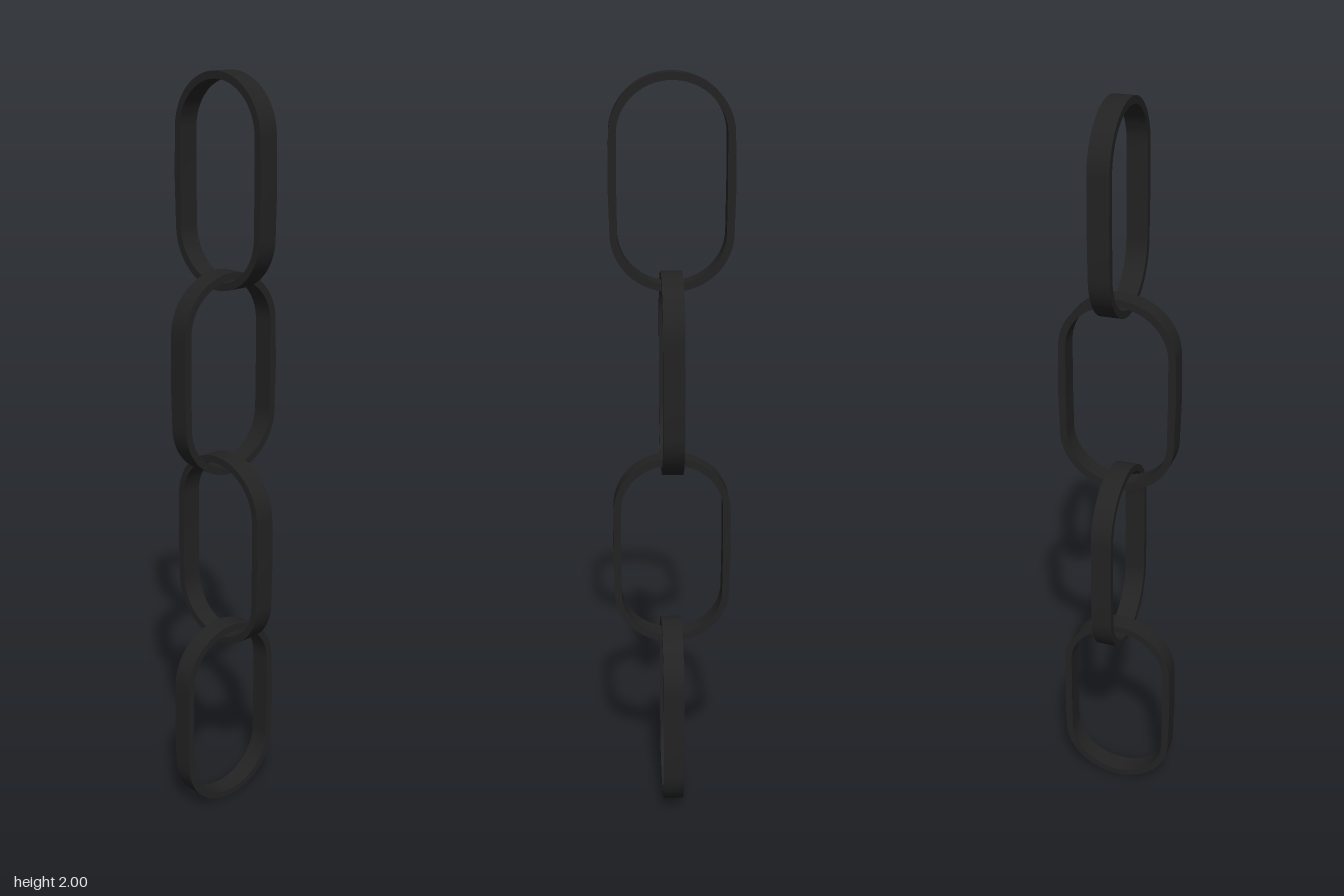
import * as THREE from 'three';
import { toCreasedNormals } from 'three/addons/utils/BufferGeometryUtils.js';

const LINKS = 4;
const HALF_HEIGHT = 0.267;  // outer half height of one link
const HALF_WIDTH = 0.155;   // outer half width of one link
const STRAIGHT = 0.12;      // half length of the straight sides
const BAND = 0.019;         // thickness of the flat bar
const DEPTH = 0.055;        // width of the flat bar

// Long oval with a faint bulge at mid height, where the bar ends meet
function oval(path, halfWidth, halfHeight, bulge) {
  const ry = halfHeight - STRAIGHT;
  path.moveTo(halfWidth, -STRAIGHT);
  path.lineTo(halfWidth + bulge, 0);
  path.lineTo(halfWidth, STRAIGHT);
  path.absellipse(0, STRAIGHT, halfWidth, ry, 0, Math.PI, false, 0);
  path.lineTo(-halfWidth - bulge, 0);
  path.lineTo(-halfWidth, -STRAIGHT);
  path.absellipse(0, -STRAIGHT, halfWidth, ry, Math.PI, Math.PI * 2, false, 0);
  return path;
}

function linkGeometry() {
  const shape = oval(new THREE.Shape(), HALF_WIDTH, HALF_HEIGHT, 0.003);
  shape.holes.push(oval(new THREE.Path(), HALF_WIDTH - BAND, HALF_HEIGHT - BAND, 0.001));
  const geometry = new THREE.ExtrudeGeometry(shape, {
    depth: DEPTH, bevelEnabled: false, curveSegments: 24,
  });
  geometry.translate(0, 0, -DEPTH / 2);
  return toCreasedNormals(geometry, Math.PI / 5);
}

export function createModel() {
  const chain = new THREE.Group();
  chain.name = 'chain';
  const geometry = linkGeometry();
  const material = new THREE.MeshStandardMaterial({ color: 0x222222 });
  const spacing = (2 - 2 * HALF_HEIGHT) / (LINKS - 1);

  // Links from bottom to top, each a quarter turn from the next
  for (let i = 0; i < LINKS; i++) {
    const link = new THREE.Mesh(geometry, material);
    link.name = `chainLink${i + 1}`;
    link.position.y = HALF_HEIGHT + i * spacing;
    link.rotation.y = i % 2 === 0 ? Math.PI / 2 : 0;
    chain.add(link);
  }
  return chain;
}
